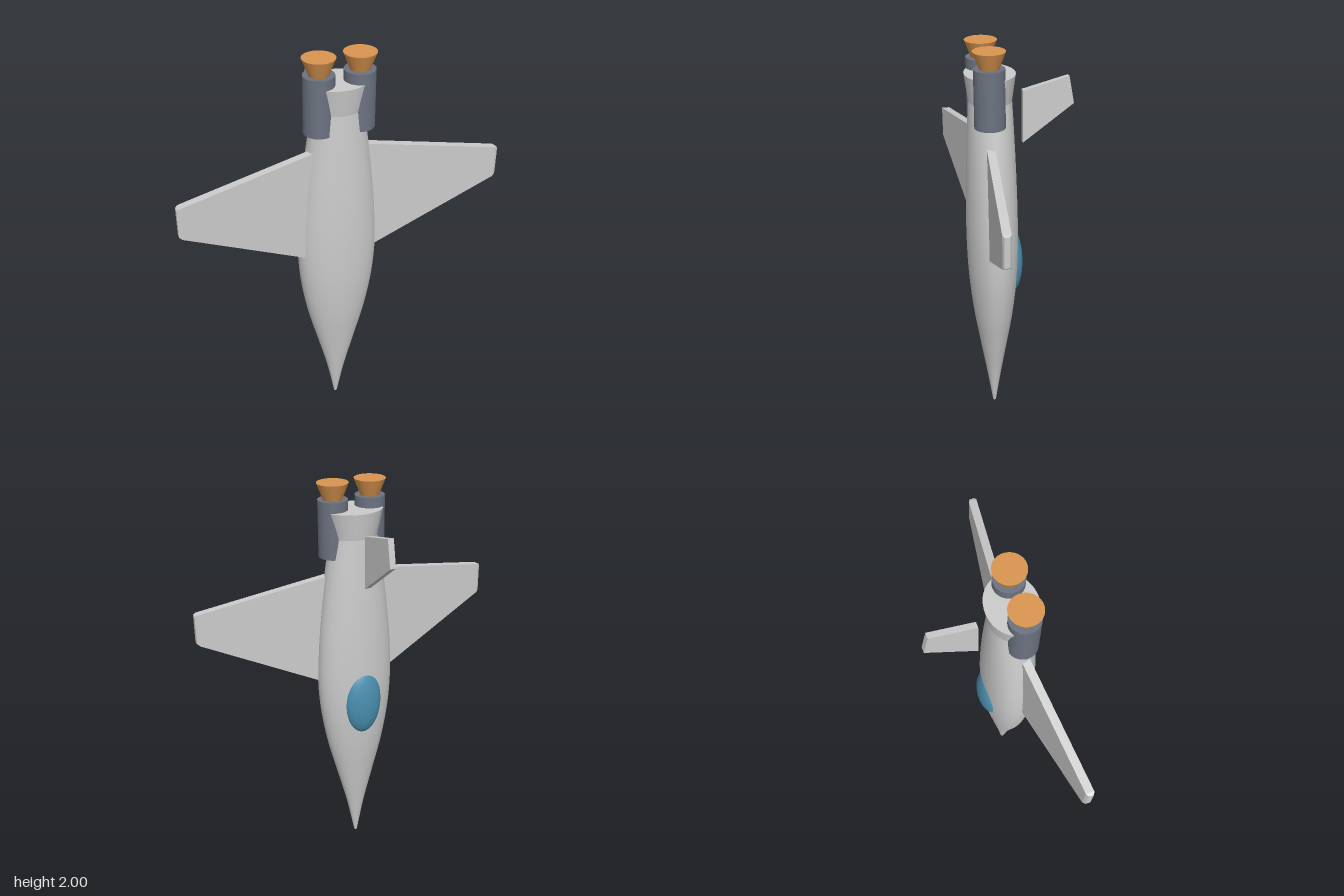
import * as THREE from 'three';

const grey = new THREE.MeshStandardMaterial({ color: 0xcccccc });
const paint = (color) => new THREE.MeshStandardMaterial({ color });

function part(name, geometry, material = grey) {
  const mesh = new THREE.Mesh(geometry, material);
  mesh.name = name;
  return mesh;
}

// Smooth skin through elliptical sections given as [y, half width, half depth]
function ellipseLoft(sections, rows, sides = 48) {
  const curve = new THREE.CatmullRomCurve3(
    sections.map(([y, a, b]) => new THREE.Vector3(a, y, b)), false, 'centripetal');
  const pos = [], index = [];
  for (let j = 0; j <= rows; j++) {
    const s = curve.getPoint(j / rows);
    for (let i = 0; i < sides; i++) {
      const t = (i / sides) * Math.PI * 2;
      pos.push(s.x * Math.cos(t), s.y, s.z * Math.sin(t));
      if (j === rows) continue;
      const p = j * sides + i, q = j * sides + (i + 1) % sides;
      index.push(p, p + sides, q, q, p + sides, q + sides);
    }
  }
  const g = new THREE.BufferGeometry();
  g.setAttribute('position', new THREE.Float32BufferAttribute(pos, 3));
  g.setIndex(index);
  g.computeVertexNormals();
  return g;
}

// Swept, drooping slab: sections are [x, leading y, trailing y, half thickness]
function wingGeometry(side) {
  const sections = [
    [0.1, 0.94, 1.552, 0.02],
    [0.78, 1.275, 1.436, 0.02],
    [0.794, 1.286, 1.43, 0.012],
  ];
  const g = new THREE.BoxGeometry(1, 1, 1, 2, 1, 1).toNonIndexed();
  const p = g.attributes.position;
  for (let i = 0; i < p.count; i++) {
    const k = Math.round(1 + 2 * side * p.getX(i));
    const [x, lead, trail, half] = sections[k];
    p.setXYZ(i, side * x, p.getY(i) < 0 ? lead : trail,
      0.151 + 0.107 * x + 2 * half * p.getZ(i));
  }
  g.computeVertexNormals();
  return g;
}

export function createModel() {
  const model = new THREE.Group();
  model.name = 'rocketPlane';

  // Fuselage, nose down, with a flared tail skirt
  const fuselage = new THREE.Group();
  fuselage.name = 'fuselage';
  fuselage.position.z = 0.14;
  const body = [
    [0, 0.008, 0.008], [0.2, 0.048, 0.038], [0.4, 0.1, 0.07], [0.6, 0.152, 0.1],
    [0.8, 0.187, 0.119], [0.97, 0.199, 0.125], [1.15, 0.194, 0.125],
    [1.35, 0.176, 0.12], [1.55, 0.15, 0.112], [1.74, 0.118, 0.103],
  ];
  const skirt = [[1.74, 0.118, 0.103], [1.87, 0.147, 0.12]];
  fuselage.add(part('body', ellipseLoft(body, 48)));
  fuselage.add(part('tailSkirt', ellipseLoft(skirt, 2)));
  const tailCap = new THREE.CircleGeometry(1, 48).rotateX(-Math.PI / 2);
  fuselage.add(part('tailCap', tailCap.scale(0.147, 1, 0.12).translate(0, 1.87, 0)));
  const noseCap = new THREE.CircleGeometry(0.008, 48).rotateX(Math.PI / 2);
  fuselage.add(part('noseCap', noseCap));
  model.add(fuselage);

  // Canopy bubble on the back
  const canopy = part('canopy', new THREE.SphereGeometry(1, 40, 28), paint(0x4a90b0));
  canopy.scale.set(0.1, 0.185, 0.06);
  canopy.position.set(0, 0.875, 0.047);
  model.add(canopy);

  // Tail fin, standing just clear of the body
  const outline = [[0.015, 1.515], [0.265, 1.695], [0.24, 1.83], [0.015, 1.775]];
  const finShape = new THREE.Shape(outline.map(([u, v]) => new THREE.Vector2(u, v)));
  const fin = new THREE.ExtrudeGeometry(finShape, { depth: 0.03, bevelEnabled: false });
  model.add(part('tailFin', fin.translate(0, 0, -0.015).rotateY(Math.PI / 2)));

  // Wings and engines, mirrored
  for (const side of [1, -1]) {
    const label = side > 0 ? 'left' : 'right';
    model.add(part(label + 'Wing', wingGeometry(side)));

    const engine = new THREE.Group();
    engine.name = label + 'Engine';
    engine.position.set(side * 0.098, 0, 0.161);
    const nacelle = new THREE.CylinderGeometry(0.073, 0.073, 0.28, 40);
    engine.add(part('nacelle', nacelle.translate(0, 1.78, 0), paint(0x6b7280)));
    const nozzle = new THREE.CylinderGeometry(0.077, 0.043, 0.09, 40);
    engine.add(part('nozzle', nozzle.translate(0, 1.955, 0), paint(0xd9954f)));
    model.add(engine);
  }
  return model;
}
